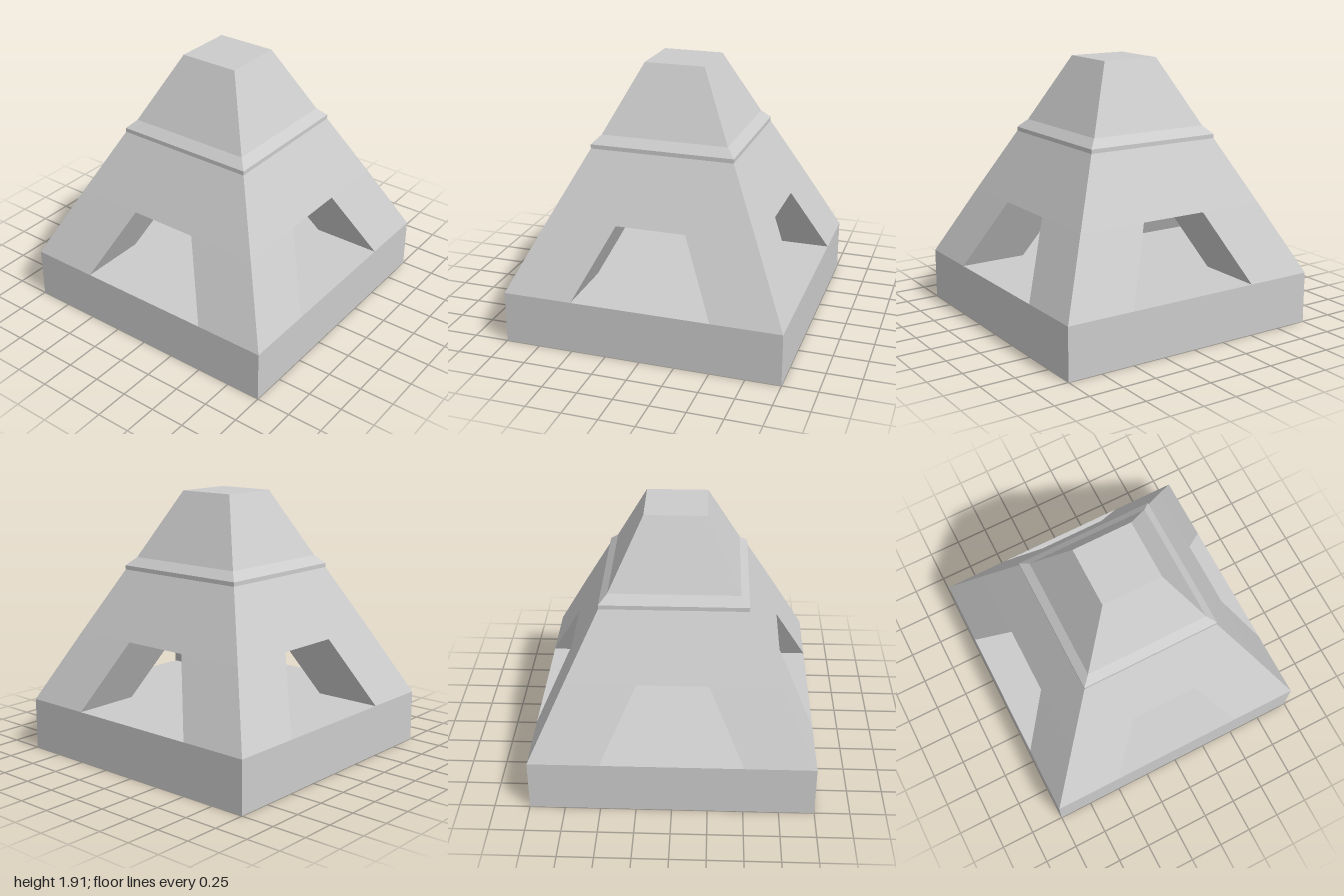
import * as THREE from 'three';

const material = new THREE.MeshStandardMaterial({
  color: 0xcccccc, flatShading: true, side: THREE.DoubleSide,
});

// Key heights, and half-widths of the square section at each of them
const FLOOR = 0.375, CEILING = 0.88, SHOULDER = 1.34;
const BODY_TOP = 0.517, CEILING_HALF = 0.75;

// Mesh from quads (corners counter-clockwise from outside), repeated by quarter turns
function quadMesh(name, quads, turns = 4) {
  const positions = [];
  const up = new THREE.Vector3(0, 1, 0);
  for (let t = 0; t < turns; t++) {
    for (const quad of quads) {
      const p = quad.map((c) => new THREE.Vector3(...c).applyAxisAngle(up, t * Math.PI / 2));
      for (const i of [0, 1, 2, 0, 2, 3]) positions.push(p[i].x, p[i].y, p[i].z);
    }
  }
  const geometry = new THREE.BufferGeometry();
  geometry.setAttribute('position', new THREE.Float32BufferAttribute(positions, 3));
  geometry.computeVertexNormals();
  const mesh = new THREE.Mesh(geometry, material);
  mesh.name = name;
  return mesh;
}

// Front strip between two heights of a square section
const strip = (y0, h0, y1, h1) => [[-h0, y0, h0], [h0, y0, h0], [h1, y1, h1], [-h1, y1, h1]];

// Mirror a quad across x, keeping its facing
const mirror = (quad) => quad.map(([x, y, z]) => [-x, y, z]).reverse();

// Horizontal rectangle, facing up or down
function level(y, x, z0, z1, faceUp) {
  const quad = [[-x, y, z1], [x, y, z1], [x, y, z0], [-x, y, z0]];
  return faceUp ? quad : quad.reverse();
}

export function createModel() {
  const model = new THREE.Group();
  model.name = 'hollowTower';

  // Upright skirt, open underneath
  model.add(quadMesh('baseSkirt', [strip(0, 1, FLOOR, 1)]));

  // Sloping body: a leg on each side of the opening and the wall above it
  const leg = [
    [-1, FLOOR, 1], [-0.5, FLOOR, 1],
    [-0.25, CEILING, CEILING_HALF], [-CEILING_HALF, CEILING, CEILING_HALF],
  ];
  model.add(quadMesh('slopingBody', [
    leg, mirror(leg), strip(CEILING, CEILING_HALF, SHOULDER, BODY_TOP),
  ]));

  // Crossing passages: cross-shaped floor and ceiling, slanted walls
  const wall = [
    [-0.5, FLOOR, 1], [-0.5, FLOOR, 0.5], [-0.25, CEILING, 0.25], [-0.25, CEILING, CEILING_HALF],
  ];
  const passage = new THREE.Group();
  passage.name = 'crossingPassages';
  passage.add(
    quadMesh('passageWalls', [wall, mirror(wall)]),
    quadMesh('floorArms', [level(FLOOR, 0.5, 0.5, 1, true)]),
    quadMesh('floorCentre', [level(FLOOR, 0.5, -0.5, 0.5, true)], 1),
    quadMesh('ceilingArms', [level(CEILING, 0.25, 0.25, CEILING_HALF, false)]),
    quadMesh('ceilingCentre', [level(CEILING, 0.25, -0.25, 0.25, false)], 1),
  );
  model.add(passage);

  // Narrow band with a bevelled ledge
  model.add(quadMesh('band', [
    strip(SHOULDER, BODY_TOP, 1.37, BODY_TOP), strip(1.37, BODY_TOP, 1.43, 0.457),
  ]));

  // Tapered cap with a flat top
  model.add(quadMesh('cap', [strip(1.43, 0.457, 1.91, 0.218)]));
  model.add(quadMesh('capTop', [level(1.91, 0.218, -0.218, 0.218, true)], 1));

  return model;
}
